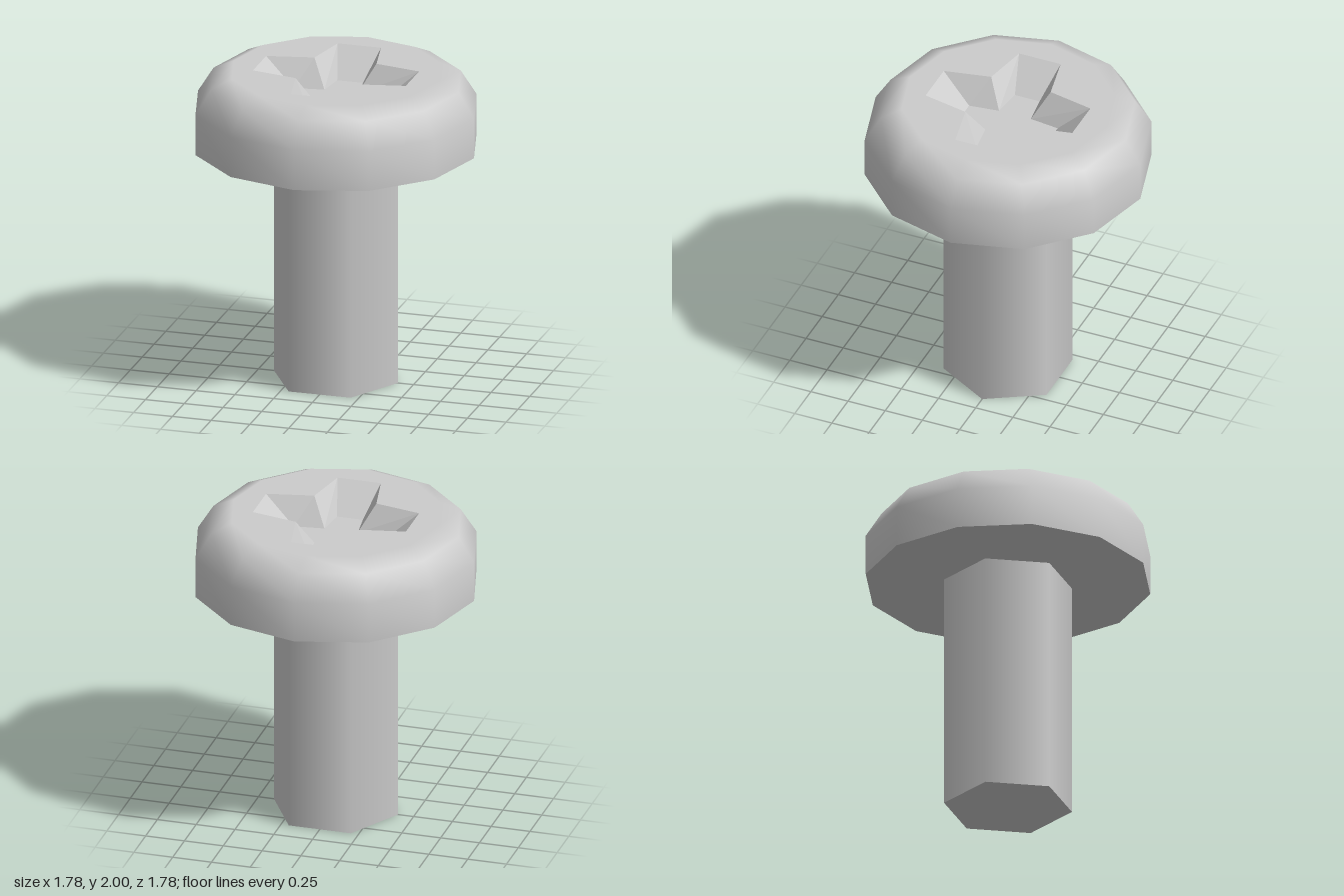
import * as THREE from 'three';

const TOP = 2, HEAD_BASE = 1.52, HEAD_R = 0.89, TOP_R = 0.66, RECESS_DEPTH = 0.17;

// Twelve-point cross outline, counter-clockwise
function crossOutline(end, half, inner) {
  const points = [];
  for (let i = 0; i < 4; i++) {
    for (const [x, y] of [[end, -half], [end, half], [inner, inner]]) {
      points.push(new THREE.Vector2(x, y).rotateAround(new THREE.Vector2(), i * Math.PI / 2));
    }
  }
  return points;
}

// Flat-shaded sloping walls between two outlines, facing inward
function recessWalls(upper, lower, depth) {
  const pos = [];
  upper.forEach((a, i) => {
    const j = (i + 1) % upper.length;
    const b = upper[j], c = lower[j], d = lower[i];
    pos.push(a.x, a.y, 0, b.x, b.y, 0, c.x, c.y, -depth);
    pos.push(a.x, a.y, 0, c.x, c.y, -depth, d.x, d.y, -depth);
  });
  const geo = new THREE.BufferGeometry();
  geo.setAttribute('position', new THREE.Float32BufferAttribute(pos, 3));
  geo.computeVertexNormals();
  return geo;
}

export function createModel() {
  const group = new THREE.Group();
  const material = new THREE.MeshStandardMaterial({ color: 0xcccccc });
  const add = (name, geometry, y = 0) => {
    const mesh = new THREE.Mesh(geometry, material);
    mesh.name = name;
    mesh.position.y = y;
    group.add(mesh);
  };

  // Six-sided shaft with corners on the x axis
  add('shaft', new THREE.CylinderGeometry(0.4, 0.4, HEAD_BASE, 6, 1, false, Math.PI / 2), HEAD_BASE / 2);

  // Twelve-sided head with a rounded shoulder blending into the flat top
  const profile = [[HEAD_R, HEAD_BASE], [HEAD_R, 1.78], [0.79, 1.94], [TOP_R, TOP]];
  const head = new THREE.LatheGeometry(profile.map(p => new THREE.Vector2(...p)), 12);
  const { position, normal } = head.attributes;
  for (let i = 0; i < position.count; i++) {
    if (position.getY(i) > TOP - 0.001) normal.setXYZ(i, 0, 1, 0);
  }
  add('headSide', head);
  add('headUnderside', new THREE.CircleGeometry(HEAD_R, 12).rotateX(Math.PI / 2), HEAD_BASE);

  // Flat top pierced by the cross recess
  const upper = crossOutline(0.493, 0.14, 0.2);
  const lower = crossOutline(0.298, 0.083, 0.107);
  const rim = Array.from({ length: 12 }, (_, i) =>
    new THREE.Vector2(TOP_R, 0).rotateAround(new THREE.Vector2(), i * Math.PI / 6));
  const face = new THREE.Shape(rim);
  face.holes.push(new THREE.Path(upper));
  add('headTop', new THREE.ShapeGeometry(face).rotateX(-Math.PI / 2), TOP);

  // Tapered cross recess
  add('recessWalls', recessWalls(upper, lower, RECESS_DEPTH).rotateX(-Math.PI / 2), TOP);
  add('recessFloor', new THREE.ShapeGeometry(new THREE.Shape(lower)).rotateX(-Math.PI / 2), TOP - RECESS_DEPTH);

  return group;
}
